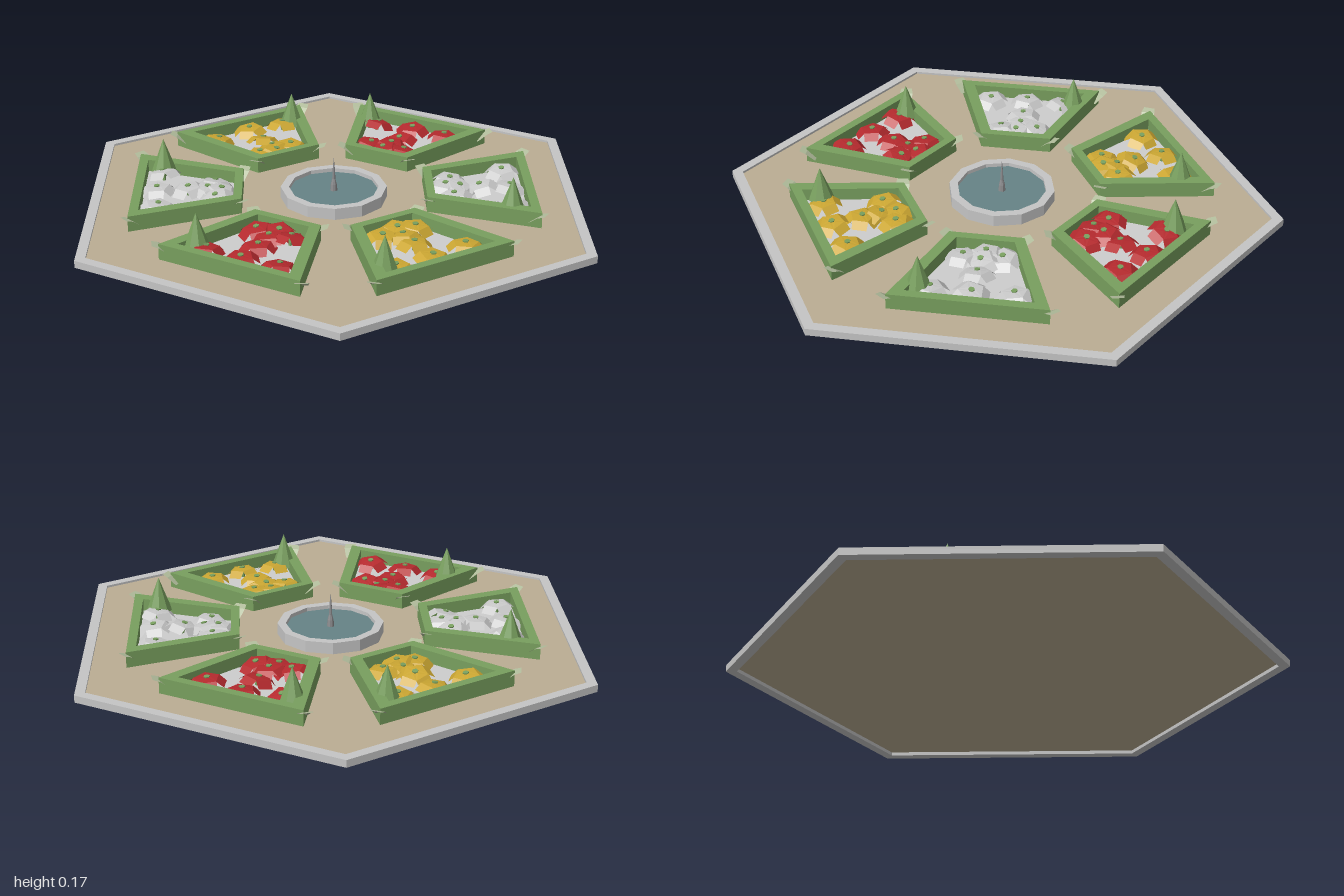
import * as THREE from 'three';

const mat = (name, color, double = false) => {
  const m = new THREE.MeshStandardMaterial({ color, flatShading: true });
  m.name = name;
  if (double) m.side = THREE.DoubleSide;
  return m;
};

const M = {
  stone: mat('kerb stone', 0xc5c5c5),
  path: mat('sandy path', 0xbbad93),
  water: mat('water', 0x668386),
  hedge: mat('hedge green', 0x789f5e),
  leaf: mat('pale leaf', 0xb2bd9c, true),
  gravel: mat('gravel', 0xcdcdcd),
  spout: mat('spout grey', 0x8c8c8e),
  yellow: mat('yellow petals', 0xcba632, true),
  red: mat('red petals', 0xb52a2e, true),
  white: mat('white petals', 0xcacaca, true),
};

function add(parent, name, geometry, material, x = 0, y = 0, z = 0) {
  const mesh = new THREE.Mesh(geometry, material);
  mesh.name = name;
  mesh.position.set(x, y, z);
  parent.add(mesh);
  return mesh;
}

// Horizontal slab from [x, z] outlines, with an optional hole
function slab(outline, hole, y0, y1) {
  const pts = (list) => list.map(([x, z]) => new THREE.Vector2(x, -z)).reverse();
  const shape = new THREE.Shape(pts(outline));
  if (hole) shape.holes.push(new THREE.Path(pts(hole)));
  const g = new THREE.ExtrudeGeometry(shape, { depth: y1 - y0, bevelEnabled: false });
  return g.rotateX(-Math.PI / 2).translate(0, y0, 0);
}

const ring = (n, r) => Array.from({ length: n }, (_, i) => {
  const a = (i / n) * Math.PI * 2;
  return [r * Math.cos(a), r * Math.sin(a)];
});

// Symmetric trapezoid: half width wi at zi, wo at zo
const trapezoid = (wi, zi, wo, zo) => [[-wi, zi], [wi, zi], [wo, zo], [-wo, zo]];

let seed = 7;
const rand = () => {
  seed = (seed * 16807) % 2147483647;
  return seed / 2147483647;
};

// Strip across rows of [distance, half width, height], running along +z
function strip(rows) {
  const pos = [];
  const index = [];
  rows.forEach(([d, w, y], i) => {
    pos.push(-w, y, d, w, y, d);
    if (i) {
      const k = 2 * i;
      index.push(k - 2, k, k - 1, k - 1, k, k + 1);
    }
  });
  const g = new THREE.BufferGeometry();
  g.setAttribute('position', new THREE.Float32BufferAttribute(pos, 3));
  g.setIndex(index);
  g.computeVertexNormals();
  return g;
}

const petalGeo = strip([[0, 0.012, 0.004], [0.036, 0.028, 0], [0.061, 0.026, -0.022]]);
const leafGeo = strip([[-0.03, 0.02, -0.035], [0.004, 0.025, -0.008], [0.028, 0.02, 0]]);
const stemGeo = new THREE.CylinderGeometry(0.011, 0.006, 0.045, 6);
const shrubGeo = new THREE.ConeGeometry(0.046, 0.125, 8);
const trunkGeo = new THREE.CylinderGeometry(0.012, 0.012, 0.03, 6);

// Five drooping petals on a stem
function flower(material) {
  const f = new THREE.Group();
  f.name = 'flower';
  for (let i = 0; i < 5; i++) {
    add(f, 'petal', petalGeo, material).rotation.y = (i / 5) * Math.PI * 2;
  }
  add(f, 'stem', stemGeo, M.hedge, 0, -0.015, 0);
  return f;
}

const hedgeOuter = trapezoid(0.13, 0.325, 0.27, 0.71);
const hedgeInner = trapezoid(0.1, 0.355, 0.215, 0.678);
const hedgeGeo = slab(hedgeOuter, hedgeInner, 0.015, 0.075);
const gravelGeo = slab(hedgeInner, null, 0.017, 0.03);
const flowerSpots = [
  [-0.14, 0.62], [0, 0.63], [0.14, 0.615], [0, 0.52],
  [0, 0.45], [-0.065, 0.425], [0.07, 0.42], [0.01, 0.4],
];

// One hedged bed, laid out along +z
function bed(material, shrubX) {
  const b = new THREE.Group();
  b.name = 'flowerBed';
  add(b, 'hedge', hedgeGeo, M.hedge);
  add(b, 'gravelFill', gravelGeo, M.gravel);
  add(b, 'shrub', shrubGeo, M.hedge, shrubX, 0.1095, 0.617);
  add(b, 'shrubTrunk', trunkGeo, M.hedge, shrubX, 0.035, 0.617);

  flowerSpots.forEach(([x, z]) => {
    const f = flower(material);
    f.position.set(x, 0.057 + rand() * 0.008, z);
    f.rotation.set((rand() - 0.5) * 0.45, rand() * 6.28, (rand() - 0.5) * 0.45);
    b.add(f);
  });

  // Loose leaves sticking out at the four corners
  hedgeOuter.forEach(([x, z]) => {
    const outer = z > 0.5;
    const leaf = add(b, 'cornerLeaf', leafGeo, M.leaf, x, 0.074, z + (outer ? -0.01 : 0.005));
    leaf.rotation.y = Math.sign(x) * (outer ? 0.7 : 2.1) + (rand() - 0.5) * 0.5;
  });
  return b;
}

export function createModel() {
  const model = new THREE.Group();
  model.name = 'hexagonalGarden';

  // Paving and kerb
  add(model, 'kerb', slab(ring(6, 1), ring(6, 0.96), 0, 0.026), M.stone);
  add(model, 'path', slab(ring(6, 0.96), null, 0.013, 0.018), M.path);

  // Six beds around the centre
  const kinds = [M.yellow, M.white, M.red];
  for (let i = 0; i < 6; i++) {
    const b = bed(kinds[i % 3], i === 2 ? 0.18 : -0.18);
    b.rotation.y = (i * Math.PI) / 3;
    model.add(b);
  }

  // Fountain
  const fountain = new THREE.Group();
  fountain.name = 'fountain';
  model.add(fountain);
  add(fountain, 'basin', slab(ring(12, 0.19), ring(12, 0.16), 0.016, 0.06), M.stone);
  add(fountain, 'water', slab(ring(12, 0.16), null, 0.018, 0.046), M.water);
  const profile = [[0, 0.04], [0.014, 0.04], [0.011, 0.07], [0.006, 0.09], [0.004, 0.13], [0, 0.172]];
  add(fountain, 'spout', new THREE.LatheGeometry(profile.map(([r, y]) => new THREE.Vector2(r, y)), 8), M.spout);

  return model;
}
